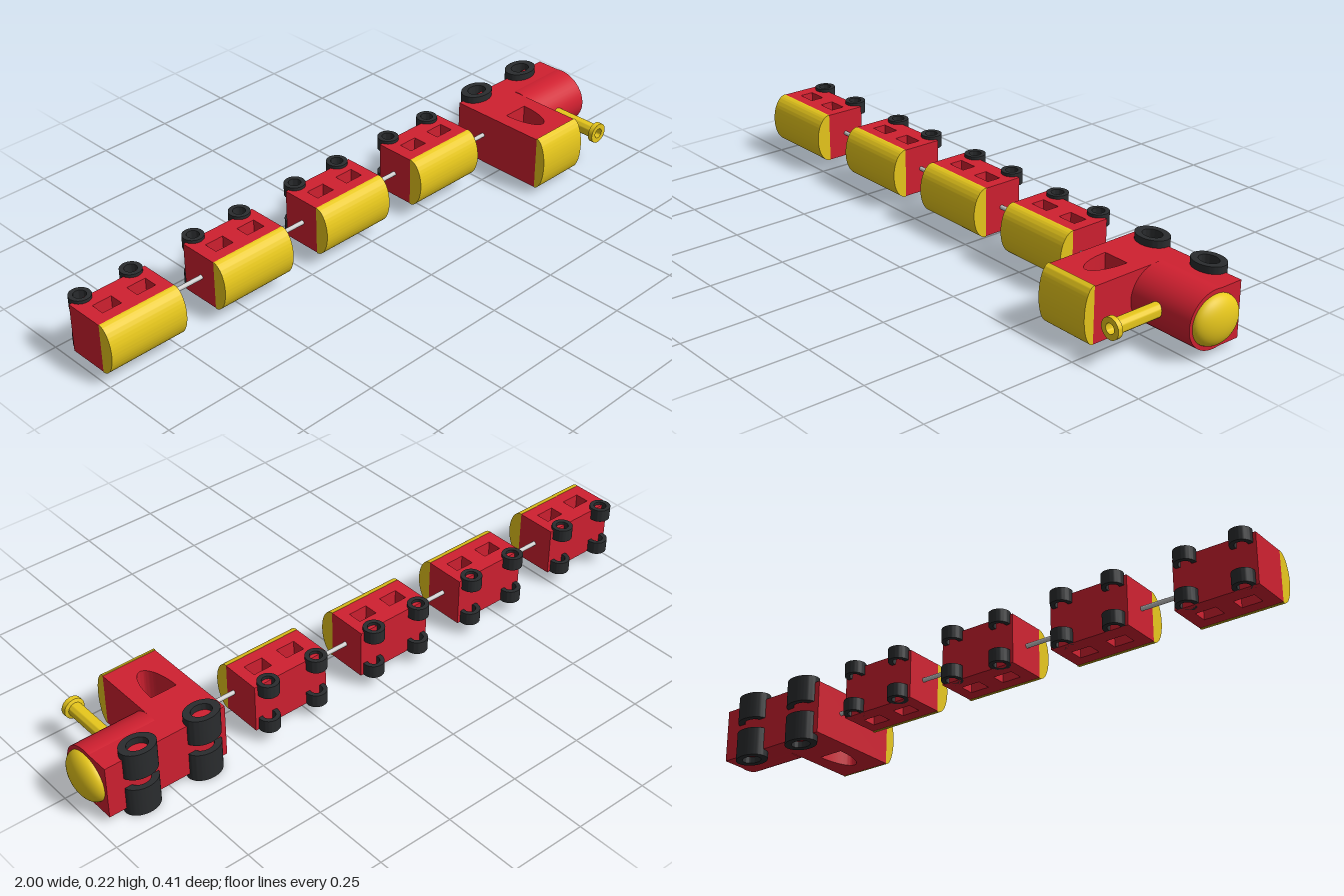
import * as THREE from 'three';
import { toCreasedNormals } from 'three/addons/utils/BufferGeometryUtils.js';

const mat = (color) => new THREE.MeshStandardMaterial({ color });
const red = mat(0xd02030), yellow = mat(0xe8c81c), black = mat(0x2a2c2e), grey = mat(0xcccccc);

function part(name, geometry, material, parent) {
  const mesh = new THREE.Mesh(geometry, material);
  mesh.name = name;
  parent.add(mesh);
  return mesh;
}

// Extrudes a side outline drawn in (x, z) across the train, from y0 to y1
function prism(shape, y0, y1) {
  const geo = new THREE.ExtrudeGeometry(shape, { depth: y1 - y0, bevelEnabled: false, curveSegments: 32 });
  geo.rotateX(Math.PI / 2).translate(0, y1, 0);
  return toCreasedNormals(geo, 0.6);
}

function trace(path, points) {
  path.setFromPoints(points.map(([x, z]) => new THREE.Vector2(x, z)));
  path.closePath();
  return path;
}
const rect = (Type, x0, x1, z0, z1) => trace(new Type(), [[x0, z0], [x1, z0], [x1, z1], [x0, z1]]);

// Half-elliptic roof running along x
function roof(x0, x1, yc, halfWidth, z0, z1) {
  const shape = new THREE.Shape();
  shape.absellipse(0, 0, halfWidth, z1 - z0, 0, Math.PI, false, 0);
  shape.closePath();
  const geo = new THREE.ExtrudeGeometry(shape, { depth: x1 - x0, bevelEnabled: false, curveSegments: 32 });
  geo.applyMatrix4(new THREE.Matrix4().makeBasis(
    new THREE.Vector3(0, 1, 0), new THREE.Vector3(0, 0, 1), new THREE.Vector3(1, 0, 0)));
  geo.translate(x0, yc, z0);
  return toCreasedNormals(geo, 0.6);
}

// Hollow wheel with its axle across the train
function wheel(x, z, rx, rz, bore, y0, y1) {
  const shape = new THREE.Shape();
  shape.absellipse(x, z, rx, rz, 0, Math.PI * 2, false, 0);
  const hole = new THREE.Path();
  hole.absellipse(x, z, rx * bore, rz * bore, 0, Math.PI * 2, true, 0);
  shape.holes.push(hole);
  return prism(shape, y0, y1);
}

function makeWagon(x, dz) {
  const wagon = new THREE.Group();
  wagon.name = 'wagon';
  // Body with two window openings through it
  const side = rect(THREE.Shape, 0, 0.26, -0.156, -0.025);
  for (const wx of [0.042, 0.16]) side.holes.push(rect(THREE.Path, wx, wx + 0.064, -0.108, -0.062));
  part('wagonBody', prism(side, 0.04, 0.197), red, wagon);
  part('wagonRoof', roof(0, 0.26, 0.118, 0.08, -0.025, 0.022), yellow, wagon);
  for (const wx of [0.042, 0.217])
    for (const [y0, y1] of [[0.04, 0.082], [0.166, 0.207]])
      part('wagonWheel', wheel(wx, -0.163, 0.033, 0.033, 0.58, y0, y1), black, wagon);
  wagon.position.set(x, 0, dz);
  return wagon;
}

function makeEngine() {
  const engine = new THREE.Group();
  engine.name = 'engine';
  // Cab with an arched opening
  const side = rect(THREE.Shape, 0.56, 0.742, -0.162, 0.167);
  const arch = new THREE.Path();
  arch.absellipse(0.65, 0, 0.043, 0.115, 0, Math.PI, false, 0);
  arch.closePath();
  side.holes.push(arch);
  part('cab', prism(side, 0.021, 0.195), red, engine);
  part('cabRoof', roof(0.56, 0.742, 0.109, 0.089, 0.167, 0.202), yellow, engine);

  // Chassis, boiler and domed nose
  part('chassis', prism(rect(THREE.Shape, 0.742, 0.96, -0.162, -0.066), 0.021, 0.195), red, engine);
  const boiler = part('boiler', new THREE.CylinderGeometry(1, 1, 0.218, 48).rotateZ(-Math.PI / 2), red, engine);
  boiler.scale.set(1, 0.089, 0.096);
  boiler.position.set(0.851, 0.108, -0.066);
  const nose = part('nose',
    new THREE.SphereGeometry(1, 40, 16, 0, Math.PI * 2, 0, Math.PI / 2).rotateZ(-Math.PI / 2), yellow, engine);
  nose.scale.set(0.04, 0.0755, 0.085);
  nose.position.set(0.96, 0.108, -0.066);

  // Chimney with a flanged, hollow mouth
  const profile = [[0.0225, 0], [0.0225, 0.178], [0.033, 0.182], [0.033, 0.198], [0.016, 0.198], [0.016, 0.13], [0, 0.13]]
    .map(([r, h]) => new THREE.Vector2(r, h));
  const chimney = toCreasedNormals(new THREE.LatheGeometry(profile, 32), 0.6);
  part('chimney', chimney.rotateX(Math.PI / 2), yellow, engine).position.set(0.835, 0.117, 0);

  for (const x of [0.634, 0.848])
    for (const [y0, y1] of [[0, 0.094], [0.13, 0.217]])
      part('engineWheel', wheel(x, -0.155, 0.057, 0.043, 0.58, y0, y1), black, engine);
  return engine;
}

export function createModel() {
  const train = new THREE.Group();
  train.name = 'toyTrain';
  train.add(makeEngine());
  for (const [x, dz] of [[-1, 0], [-0.595, -0.007], [-0.2, -0.007], [0.19, 0]]) train.add(makeWagon(x, dz));

  // Coupling rods
  for (const [x0, x1, z] of [[-0.75, -0.585, -0.09], [-0.345, -0.19, -0.093], [0.05, 0.2, -0.093], [0.44, 0.57, -0.056]]) {
    const rod = new THREE.CylinderGeometry(0.007, 0.007, x1 - x0, 16).rotateZ(Math.PI / 2);
    part('coupling', rod, grey, train).position.set((x0 + x1) / 2, 0.119, z);
  }
  return train;
}
